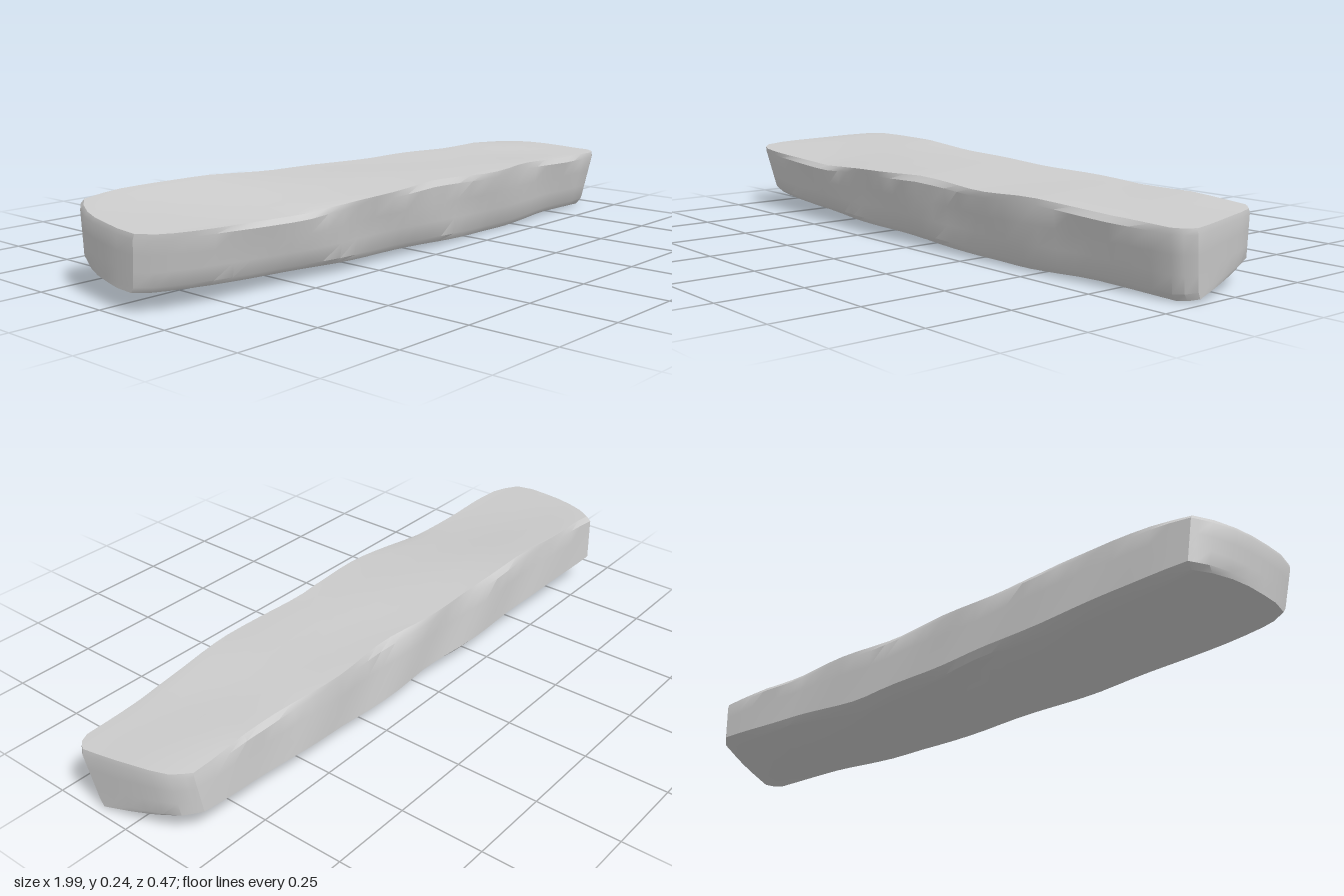
import * as THREE from 'three';
import { toCreasedNormals } from 'three/addons/utils/BufferGeometryUtils.js';

// Smooth-free interpolation through [position, value] pairs
function along(table, t) {
  for (let i = 1; i < table.length; i++) {
    const [a, p] = table[i - 1], [b, q] = table[i];
    if (t <= b) return p + (q - p) * Math.max(0, (t - a) / (b - a));
  }
  return table[table.length - 1][1];
}
const lerp = THREE.MathUtils.lerp;

// Plan outline of the slab edges, along its length (x)
const frontZ = [[-1, 0.18], [-0.9, 0.195], [-0.7, 0.205], [-0.4, 0.225], [0, 0.233], [0.4, 0.225], [0.7, 0.21], [1, 0.185]];
const backZ = [[-1, -0.225], [-0.9, -0.225], [-0.65, -0.212], [-0.4, -0.205], [0, -0.185], [0.4, -0.175], [0.9, -0.168], [1, -0.163]];
// Heights of the four long edges
const topFront = [[-1, 0.205], [-0.75, 0.195], [-0.55, 0.19], [-0.3, 0.205], [0, 0.213], [0.3, 0.202], [0.5, 0.208], [0.8, 0.192], [1, 0.187]];
const topBack = [[-1, 0.235], [-0.9, 0.245], [-0.55, 0.247], [-0.3, 0.232], [0, 0.225], [0.3, 0.22], [0.6, 0.212], [0.8, 0.213], [1, 0.2]];
const lowFront = [[-1, 0.052], [-0.7, 0.038], [-0.3, 0.026], [0, 0.02], [0.25, 0.008], [0.45, 0.004], [0.7, 0.014], [1, 0.002]];
const lowBack = [[-1, 0.08], [-0.7, 0.07], [-0.35, 0.05], [0, 0.04], [0.3, 0.025], [0.6, 0.045], [1, 0.062]];
// Rounded ends: x as a function of depth (0 front, 1 back)
const leftEnd = [[0, -0.91], [0.06, -0.97], [0.15, -1], [0.4, -0.985], [0.65, -0.965], [0.85, -0.93], [1, -0.885]];
const rightEnd = [[0, 0.95], [0.05, 0.985], [0.1, 1], [0.4, 0.985], [0.7, 0.965], [0.9, 0.94], [1, 0.9]];
// Uneven row spacing: tight rows near the edges
const depthRows = [0, 0.04, 0.12, 0.27, 0.42, 0.58, 0.73, 0.88, 0.96, 1];
const heightRows = [0, 0.1, 0.36, 0.64, 0.91, 1];

export function createModel() {
  const group = new THREE.Group();
  const box = new THREE.BoxGeometry(1, 1, 1, 30, heightRows.length - 1, depthRows.length - 1);
  const pos = box.attributes.position;
  for (let i = 0; i < pos.count; i++) {
    const s = pos.getX(i) + 0.5;
    const h = heightRows[Math.round((pos.getY(i) + 0.5) * (heightRows.length - 1))];
    const d = depthRows[Math.round((0.5 - pos.getZ(i)) * (depthRows.length - 1))];
    const t = s * 2 - 1;
    const inner = Math.sin(Math.PI * s);

    // Worn long edges: top and bottom rows pulled in, unevenly
    const chipF = h === 1 ? 0.009 + 0.008 * Math.sin(t * 9 + 1) : h === 0 ? 0.012 : 0;
    const chipB = h === 1 ? 0.007 + 0.006 * Math.sin(t * 11) : h === 0 ? 0.03 + 0.012 * Math.sin(t * 7) : 0;
    const waveF = 0.005 * Math.sin(t * 13 + h * 4) * inner;
    const waveB = 0.004 * Math.sin(t * 15 + h * 3 + 2) * inner;
    const zF = along(frontZ, t) - 0.036 * (1 - h) - chipF + waveF;
    const zB = along(backZ, t) - 0.012 * (1 - h) + chipB + waveB;

    // Top is gently hollowed, underside is lumpy
    const mid = Math.sin(Math.PI * d);
    const top = lerp(along(topFront, t), along(topBack, t), d) + 0.003 * Math.sin(t * 5 + d * 4) * mid;
    const low = lerp(along(lowFront, t), along(lowBack, t), d)
      - mid * inner * (0.012 + 0.008 * Math.sin(t * 8 + d * 5));

    // Ends lean in a little toward the bottom and bulge at mid height
    let x = lerp(along(leftEnd, d), along(rightEnd, d), s);
    x *= 1 - 0.02 * (1 - h) * Math.abs(t) - (h === 1 ? 0.004 * Math.abs(t) : 0);
    pos.setXYZ(i, x, Math.max(0, lerp(low, top, h)), lerp(zF, zB, d));
  }
  box.deleteAttribute('uv');
  const slab = new THREE.Mesh(
    toCreasedNormals(box, 0.6),
    new THREE.MeshStandardMaterial({ color: 0xcccccc, roughness: 0.9 })
  );
  slab.name = 'stoneSlab';
  group.add(slab);
  return group;
}
